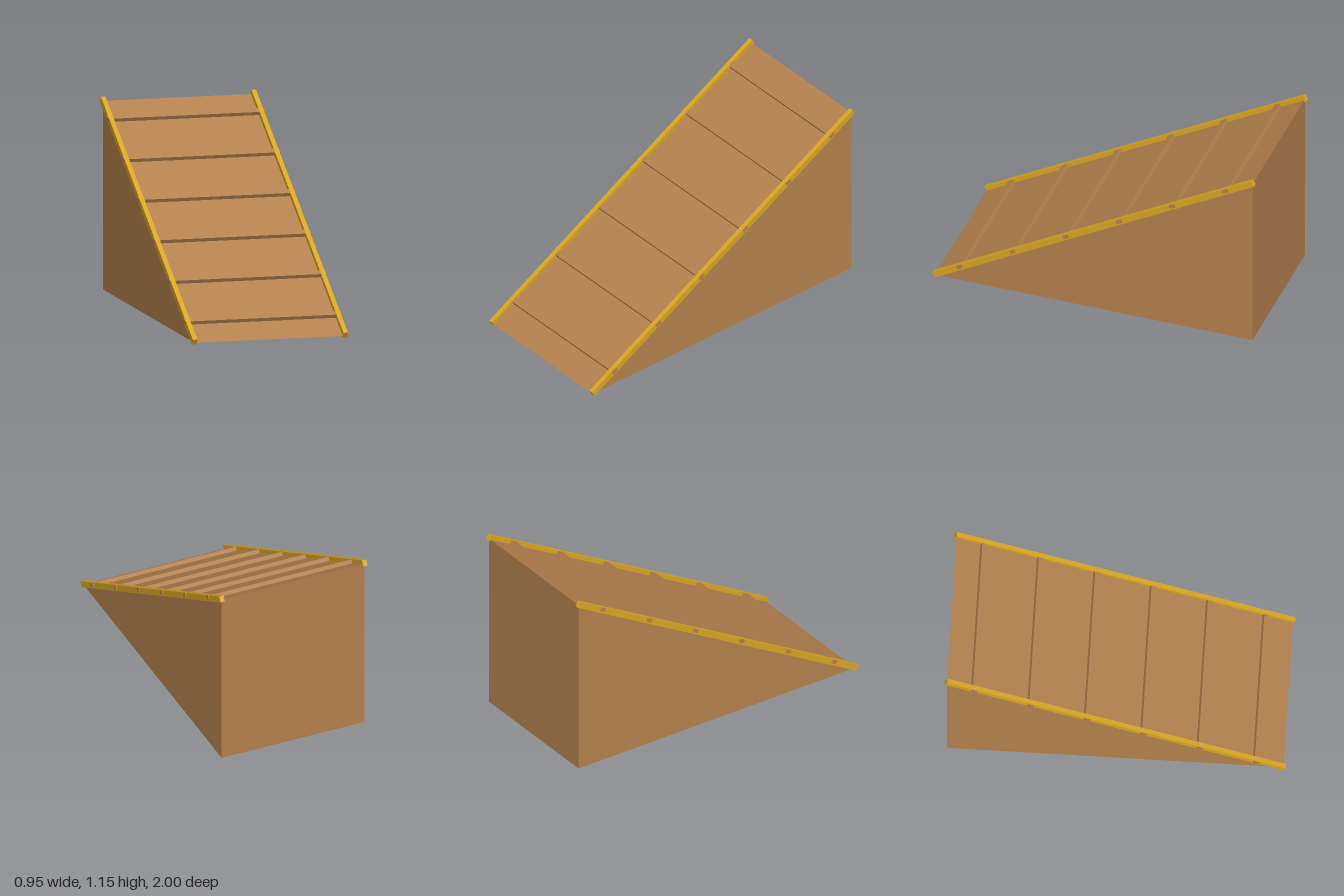
import * as THREE from 'three';

export function createModel() {
  const group = new THREE.Group();
  const wood = new THREE.MeshStandardMaterial({ color: 0xb3804d });
  wood.name = 'brown wood';
  const gold = new THREE.MeshStandardMaterial({ color: 0xd9a623 });
  gold.name = 'golden trim';

  const add = (parent, name, geometry, material, x = 0, y = 0, z = 0) => {
    const mesh = new THREE.Mesh(geometry, material);
    mesh.name = name;
    mesh.position.set(x, y, z);
    parent.add(mesh);
  };

  // Solid wedge: side profile in (z, y), extruded across the width
  const halfLength = 0.985, bottom = 0.01, top = 1.127, width = 0.914;
  const profile = new THREE.Shape([
    new THREE.Vector2(halfLength, bottom),
    new THREE.Vector2(-halfLength, top),
    new THREE.Vector2(-halfLength, bottom),
  ]);
  const wedge = new THREE.ExtrudeGeometry(profile, { depth: width, bevelEnabled: false });
  wedge.translate(0, 0, -width / 2).rotateY(-Math.PI / 2);
  add(group, 'wedge', wedge, wood);

  // Everything on the slope shares one tilted frame
  const slope = new THREE.Group();
  slope.name = 'slopeTrim';
  slope.position.y = 0.5765;
  slope.rotation.x = Math.atan2(top - bottom, 2 * halfLength);
  group.add(slope);

  // Side rails
  const railLength = 2.277;
  for (const side of [-1, 1]) {
    add(slope, side > 0 ? 'leftRail' : 'rightRail',
      new THREE.BoxGeometry(0.028, 0.0364, railLength), gold, side * 0.457);
  }

  // Evenly spaced cross slats, their ends poking through the rails
  const count = 6;
  for (let i = 0; i < count; i++) {
    add(slope, `slat${i + 1}`, new THREE.BoxGeometry(0.952, 0.0235, 0.036), wood,
      0, 0.0053, ((count - 1) / 2 - i) * railLength / count);
  }
  return group;
}
